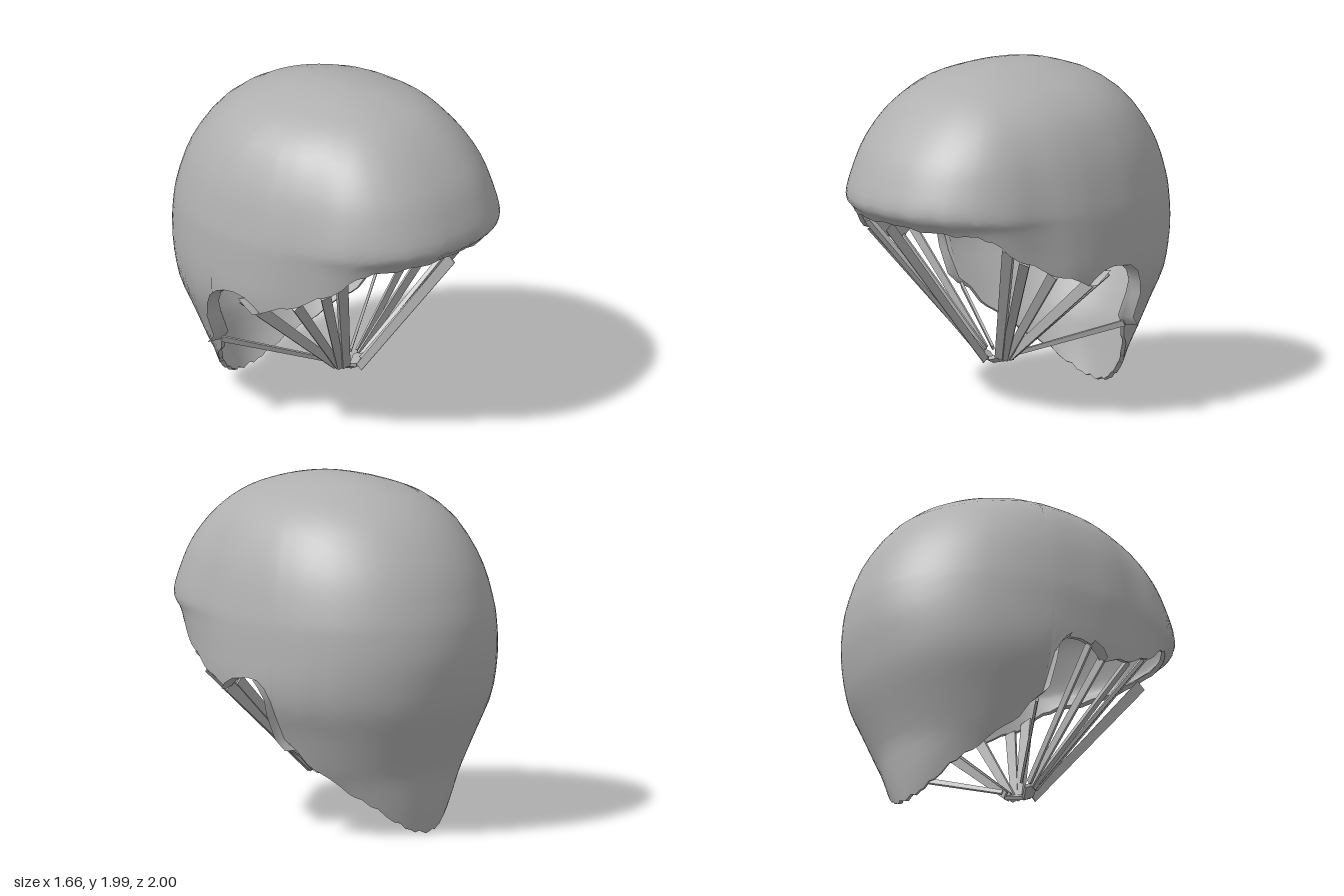
import * as THREE from 'three';

// Horizontal sections of the dome: y, half width, front z, back z, centre z
const SECTIONS = [
  [2.0, 0, 0.08, 0.08, 0.08], [1.985, 0.14, 0.22, -0.2, 0.03], [1.95, 0.28, 0.39, -0.35, 0],
  [1.88, 0.45, 0.57, -0.54, -0.03], [1.76, 0.59, 0.73, -0.71, -0.06], [1.6, 0.68, 0.87, -0.84, -0.08],
  [1.45, 0.73, 0.95, -0.92, -0.1], [1.28, 0.765, 1.0, -0.975, -0.1], [1.19, 0.775, 0.92, -0.99, -0.1],
  [1.05, 0.78, 0.86, -1.0, -0.1], [0.9, 0.78, 0.82, -0.98, -0.1], [0.75, 0.75, 0.8, -0.95, -0.1],
  [0.6, 0.68, 0.8, -0.89, -0.1], [0.4, 0.6, 0.8, -0.8, -0.1], [0.3, 0.54, 0.8, -0.775, -0.1],
  [0.15, 0.46, 0.8, -0.75, -0.1], [0, 0.35, 0.8, -0.715, -0.1],
];
// Lower edge of the dome from brow to nape, with the ear notch: z, y
const RIM = [
  [0.92, 1.19], [0.75, 1.175], [0.68, 1.14], [0.6, 1.06], [0.5, 1.0], [0.42, 0.96], [0.3, 0.9], [0.2, 0.87],
  [0.12, 0.83], [0.08, 0.87], [0.02, 0.905], [-0.06, 0.92], [-0.14, 0.91], [-0.19, 0.87], [-0.225, 0.8],
  [-0.235, 0.72], [-0.24, 0.57], [-0.3, 0.51], [-0.34, 0.43], [-0.4, 0.38], [-0.48, 0.3], [-0.53, 0.24],
  [-0.62, 0.17], [-0.66, 0.09], [-0.7, 0.04], [-0.715, 0.01],
];
const ROWS = 28;

// Smooth section at fractional index t
function section(t) {
  const last = SECTIONS.length - 1;
  const i = Math.min(Math.floor(t), last - 1), f = t - i;
  const at = (k) => SECTIONS[Math.max(0, Math.min(last, k))];
  return at(i).map((p1, n) => {
    const p0 = at(i - 1)[n], p2 = at(i + 1)[n], p3 = at(i + 2)[n];
    return p1 + 0.5 * f * (p2 - p0 + f * (2 * p0 - 5 * p1 + 4 * p2 - p3 + f * (3 * (p1 - p2) + p3 - p0)));
  });
}

function indexAtHeight(y) {
  let lo = 0, hi = SECTIONS.length - 1;
  for (let i = 0; i < 30; i++) {
    const mid = (lo + hi) / 2;
    if (section(mid)[0] > y) lo = mid; else hi = mid;
  }
  return lo;
}

// Point of the dome at section t and angle (0 = front, PI = back)
function domePoint(t, angle) {
  const [y, w, front, back, c] = section(t);
  const cos = Math.cos(angle), e = cos > 0 ? 2 / 2.4 : 1;
  const z = c + (cos > 0 ? front - c : c - back) * Math.sign(cos) * Math.abs(cos) ** e;
  const temple = 1 - 0.03 * Math.exp(-(((z - 0.42) / 0.15) ** 2));
  return new THREE.Vector3(w * Math.abs(Math.sin(angle)) ** e * temple, y, z);
}

function rimAngle([z, y]) {
  const [, , front, back, c] = section(indexAtHeight(y));
  const u = Math.max(-1, Math.min(1, z > c ? (z - c) / (front - c) : (z - c) / (c - back)));
  return Math.acos(Math.sign(u) * Math.abs(u) ** (u > 0 ? 1.2 : 1));
}

// Columns on one side, then mirrored to close the loop
function domeColumns() {
  const half = [];
  for (let i = 0; i < RIM.length - 1; i++) {
    let a0 = rimAngle(RIM[i]), a1 = rimAngle(RIM[i + 1]);
    if (i === 0) a0 = 0;
    if (i === RIM.length - 2) a1 = Math.PI;
    const n = Math.max(1, Math.ceil(Math.abs(a1 - a0) / 0.09));
    for (let k = 0; k < n; k++) {
      const ripple = k ? 0.01 * Math.sin(i * 3 + k * 2.1) : 0;
      half.push([a0 + (a1 - a0) * k / n, RIM[i][1] + (RIM[i + 1][1] - RIM[i][1]) * k / n + ripple]);
    }
  }
  half.push([Math.PI, RIM[RIM.length - 1][1]]);
  const full = half.map(([a, y]) => [a, y, 1]);
  for (let i = half.length - 2; i > 0; i--) full.push([...half[i], -1]);
  return full;
}

function geometry(points, index) {
  const g = new THREE.BufferGeometry().setFromPoints(points);
  g.setIndex(index);
  g.computeVertexNormals();
  return g;
}

// Strip of quads between two edges
function ribbon(a, b, closed = false) {
  const n = a.length, index = [];
  for (let i = 0; i < (closed ? n : n - 1); i++) {
    const j = (i + 1) % n;
    index.push(i, n + i, n + j, i, n + j, j);
  }
  return geometry([...a, ...b], index);
}

export function createModel() {
  const group = new THREE.Group();
  const grey = new THREE.MeshStandardMaterial({ color: 0xb0b0b0 });
  grey.name = 'grey';
  const greyThin = grey;
  greyThin.side = THREE.DoubleSide;
  const add = (name, geo) => {
    const mesh = new THREE.Mesh(geo, grey);
    mesh.name = name;
    group.add(mesh);
    return mesh;
  };

  // Outer dome
  const columns = domeColumns(), n = columns.length;
  const outer = [domePoint(0, 0)], index = [];
  columns.forEach(([angle, y, side], k) => {
    const end = indexAtHeight(y), next = (k + 1) % n;
    for (let j = 1; j <= ROWS; j++) {
      const p = domePoint(end * j / ROWS, angle);
      p.x *= side;
      outer.push(p);
    }
    const id = (c, j) => (j === 0 ? 0 : c * ROWS + j);
    for (let j = 0; j < ROWS; j++) {
      if (j > 0) index.push(id(k, j), id(k, j + 1), id(next, j));
      index.push(id(k, j + 1), id(next, j + 1), id(next, j));
    }
  });
  const outerGeo = geometry(outer, index);
  add('outerShell', outerGeo);

  // Inner lining, set in along the normals
  const normals = outerGeo.attributes.normal;
  const inner = outer.map((p, i) => {
    const q = p.clone().addScaledVector(new THREE.Vector3().fromBufferAttribute(normals, i), -0.025);
    if (Math.abs(p.x) < 1e-6) q.x = 0;
    return q;
  });
  add('innerLining', geometry(inner, index.slice().reverse()));

  // Edge joining the two layers
  const rimOf = (pts) => columns.map((_, k) => pts[(k + 1) * ROWS]);
  add('rimEdge', ribbon(rimOf(outer), rimOf(inner), true));

  // Flared lips around the ear notches
  const lips = [[8, 10], [12, 17]];
  for (const side of [1, -1]) {
    for (const [from, to] of lips) {
      const edge = RIM.slice(from, to + 1).map((r) => {
        const p = domePoint(indexAtHeight(r[1]), rimAngle(r));
        p.x *= side;
        return p;
      });
      const flare = edge.map((p, i) =>
        new THREE.Vector3(p.x + side * (0.045 + (0.9 - p.y) * 0.12 + 0.01 * (i % 2)), p.y + 0.01, p.z - 0.01));
      add('earLip', ribbon(edge, flare));
    }
  }

  // Tapered strap between two points, a thin box with its width along a chosen direction
  const strap = (name, top, bottom, across, width, thick) => {
    const a = new THREE.Vector3(...top), b = new THREE.Vector3(...bottom);
    const yAxis = a.clone().sub(b), length = yAxis.length();
    yAxis.normalize();
    const xAxis = new THREE.Vector3(...across);
    xAxis.addScaledVector(yAxis, -xAxis.dot(yAxis)).normalize();
    const zAxis = new THREE.Vector3().crossVectors(xAxis, yAxis);
    const geo = new THREE.BoxGeometry(width, length, thick);
    const pos = geo.attributes.position;
    for (let i = 0; i < pos.count; i++) if (pos.getY(i) < 0) pos.setX(i, pos.getX(i) * 0.7);
    geo.applyMatrix4(new THREE.Matrix4().makeBasis(xAxis, yAxis, zAxis));
    geo.translate(...a.add(b).multiplyScalar(0.5).toArray());
    geo.computeVertexNormals();
    add(name, geo);
  };

  // Straps gathered at the chin
  strap('frontStrap', [-0.035, 1.18, 0.93], [0, 0.28, 0.19], [0, 0, 1], 0.065, 0.006);
  for (const s of [1, -1]) {
    strap('browStrap', [s * 0.56, 1.07, 0.57], [s * 0.07, 0.3, 0.15], [s, -0.3, -0.3], 0.07, 0.025);
    strap('templeStrap', [s * 0.62, 1.0, 0.5], [s * 0.09, 0.29, 0.13], [s, -0.3, -0.6], 0.06, 0.02);
    strap('cheekStrap', [s * 0.69, 0.92, 0.34], [s * 0.1, 0.3, 0.12], [s, -0.8, -0.4], 0.06, 0.025);
    strap('earFrontStrap', [s * 0.755, 0.85, 0.11], [s * 0.1, 0.3, 0.1], [s, -1, 0], 0.07, 0.012);
    strap('earStrap', [s * 0.78, 0.9, 0.0], [s * 0.11, 0.31, 0.08], [s, -1, 0], 0.06, 0.012);
    strap('napeStrap', [s * 0.65, 0.53, -0.27], [s * 0.09, 0.31, 0.04], [0, 1, 0.3], 0.035, 0.015);
    // Chin band half
    strap('chinBand', [s * 0.11, 0.305, 0.1], [0, 0.275, 0.15], [0, 0.4, 1], 0.09, 0.02);
  }
  return group;
}
